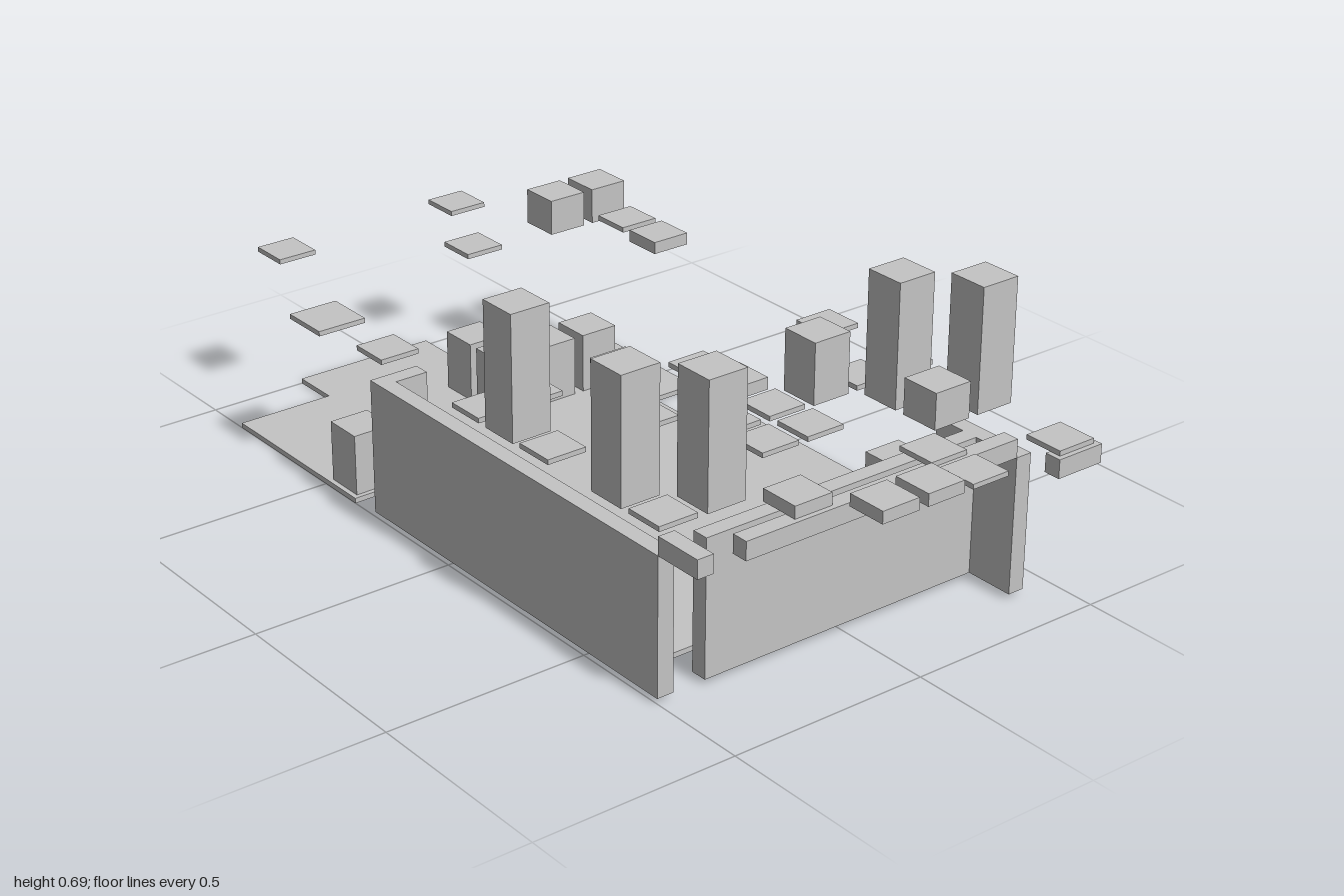
import * as THREE from 'three';

const CELL = 0.125;
const FLOOR = 0.0125;   // slab thickness
const WALL_TOP = 0.345;
const DECK = 0.39;      // level of the upper pieces
const T = CELL / 3;     // wall thickness

export function createModel() {
  const model = new THREE.Group();
  const grey = new THREE.MeshStandardMaterial({ color: 0xc4c4c4 });
  grey.name = 'plain grey';

  // Box given by its limits on each axis
  function box(name, x0, x1, y0, y1, z0, z1) {
    const mesh = new THREE.Mesh(new THREE.BoxGeometry(x1 - x0, y1 - y0, z1 - z0), grey);
    mesh.position.set((x0 + x1) / 2, (y0 + y1) / 2, (z0 + z1) / 2);
    mesh.name = name;
    model.add(mesh);
  }

  // Stepped floor slab, outlined as (x, z)
  const outline = [
    [-0.25, -1], [0.125, -1], [0.125, -0.875], [0.25, -0.875], [0.25, -0.75], [0.5, -0.75],
    [0.5, -0.375], [0.375, -0.375], [0.375, -0.125], [0.5, -0.125], [0.5, 0.625],
    [-0.375, 0.625], [-0.375, -0.375], [-0.5, -0.375], [-0.5, -0.875], [-0.25, -0.875],
  ];
  const shape = new THREE.Shape(outline.map(([x, z]) => new THREE.Vector2(x, -z)));
  const floorGeo = new THREE.ExtrudeGeometry(shape, { depth: FLOOR, bevelEnabled: false });
  floorGeo.rotateX(-Math.PI / 2);
  const floor = new THREE.Mesh(floorGeo, grey);
  floor.name = 'floor';
  model.add(floor);

  // Walls
  box('rightSideWall', -0.5, -0.5 + T, FLOOR, WALL_TOP, -0.25 - T, 0.75);
  box('backWall', -0.5 + T, -0.375, FLOOR, WALL_TOP, -0.25 - T, -0.25);
  box('frontWall', -0.375, 0.375, FLOOR, WALL_TOP, 0.75 - T, 0.75);
  box('leftSideWall', 0.375, 0.375 + T, FLOOR, WALL_TOP, 0.625, 0.875);

  // Upper rails and the wide ledge plate
  box('sideRail', -0.5, -0.5 + T, WALL_TOP, DECK, 0.75, 0.875);
  box('frontRail', -0.375, 0.375, WALL_TOP, DECK, 0.875 - T, 0.875);
  box('cornerRail', 0.375, 0.5, WALL_TOP, DECK, 1 - T, 1);
  box('ledgePlate', -0.5, -0.375, 0.378, DECK, -0.625, -0.5);

  // Grid pieces: bottom, top and their cells as [column, row]
  const pieces = [
    ['lowBlock', FLOOR, 0.163, [[4, 2], [4, 3], [5, 3], [6, 3], [0, 4], [1, 4], [1, 5], [1, 6],
      [7, 11], [7, 12]]],
    ['thinTile', DECK, 0.402, [[1, 0], [5, 0], [4, 2], [0, 5], [0, 8], [1, 8], [3, 8], [4, 9], [7, 9],
      [0, 10], [2, 10], [3, 11], [4, 11], [6, 11], [7, 11], [3, 12], [4, 12], [0, 13], [5, 14],
      [5, 15], [7, 15]]],
    ['raisedTile', 0.405, 0.418, [[7, 3]]],
    ['thickTile', DECK, 0.42, [[7, 4], [4, 10], [2, 14], [3, 15], [4, 15]]],
    ['shortBlock', DECK, 0.478, [[6, 2], [7, 2], [6, 13]]],
    ['mediumBlock', DECK, 0.54, [[5, 11]]],
    ['tower', DECK, 0.69, [[0, 9], [0, 12], [6, 12], [1, 13], [7, 13]]],
  ];
  const half = 0.05;
  for (const [name, y0, y1, cells] of pieces) {
    for (const [i, j] of cells) {
      const x = -0.5 + CELL * (i + 0.5);
      const z = -1 + CELL * (j + 0.5);
      box(name, x - half, x + half, y0, y1, z - half, z + half);
    }
  }
  return model;
}
